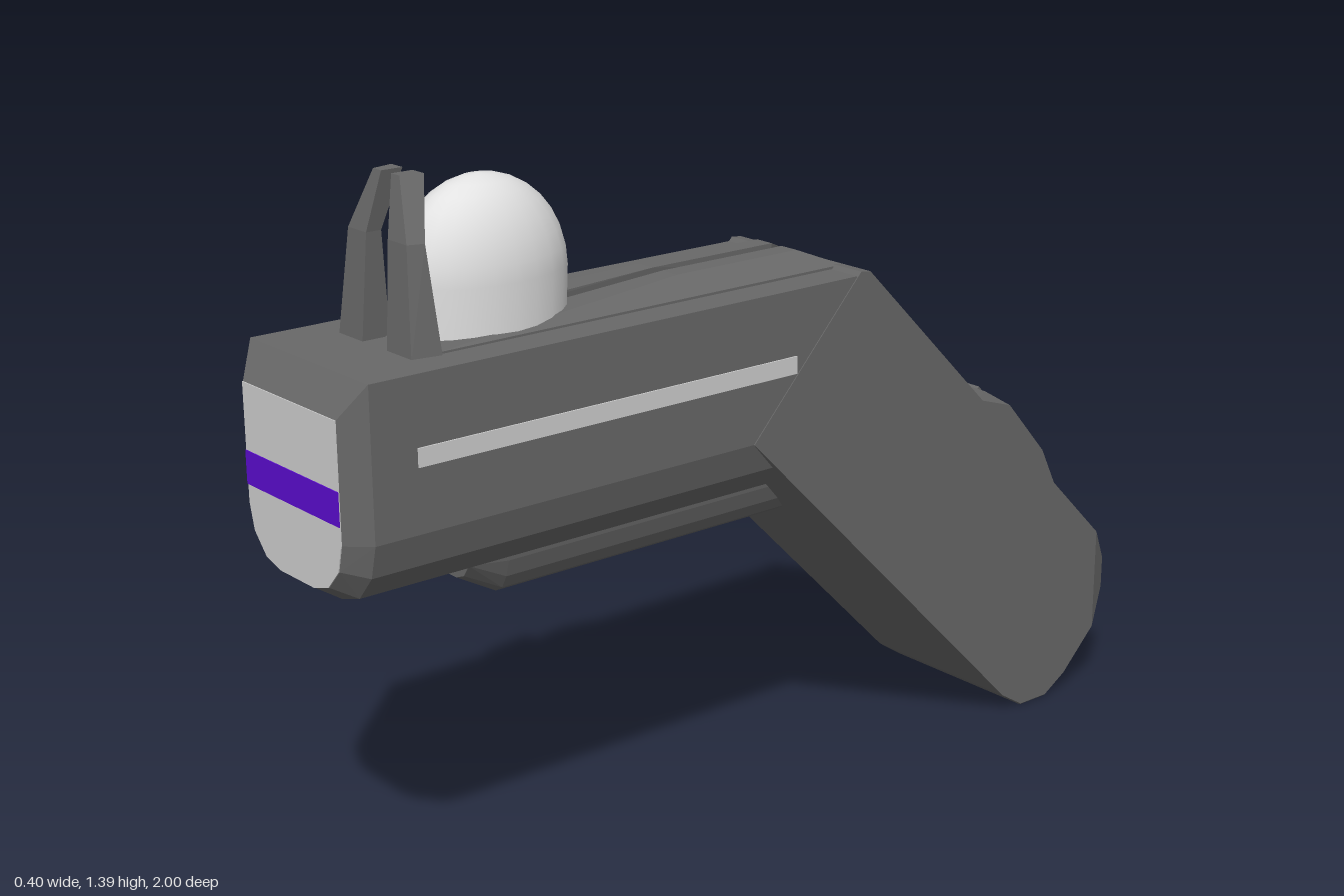
import * as THREE from 'three';
import { ConvexGeometry } from 'three/addons/geometries/ConvexGeometry.js';

const mat = (name, color) => {
  const m = new THREE.MeshStandardMaterial({ color });
  m.name = name;
  return m;
};

export function createModel() {
  const gray = mat('bodyGray', 0x686868);
  const light = mat('lightPanel', 0xd0d0d0);
  const white = mat('domeWhite', 0xe2e2e2);
  const frameGray = mat('frameGray', 0xb8b8b8);
  const purple = mat('purple', 0x5c0cd0);

  const model = new THREE.Group();
  const add = (name, geometry, material, parent = model) => {
    const mesh = new THREE.Mesh(geometry, material);
    mesh.name = name;
    parent.add(mesh);
    return mesh;
  };
  // faceted convex solid from [x, y, z] corners
  const hull = (pts) => new ConvexGeometry(pts.map((p) => new THREE.Vector3(...p)));
  // half cross-section [x, y] mirrored at depth z
  const ring = (half, z) => half.flatMap(([x, y]) => [[x, y, z], [-x, y, z]]);
  // side profile [z, y] at both +x and -x
  const sides = (profile, x) => profile.flatMap(([z, y]) => [[x, y, z], [-x, y, z]]);
  const box = (name, size, pos, material, parent) => {
    const m = add(name, new THREE.BoxGeometry(...size), material, parent);
    m.position.set(...pos);
    return m;
  };

  // Barrel with rounded underside and bevelled nose
  const section = [[0.195, 1.08], [0.195, 0.785], [0.178, 0.72], [0.135, 0.67], [0.075, 0.652]];
  const nose = [[0.155, 1.015], [0.155, 0.785], [0.142, 0.733], [0.105, 0.693], [0.058, 0.679]];
  add('barrel', hull([...ring(section, -0.19), ...ring(section, 0.955), ...ring(nose, 0.998)]), gray);
  add('nosePanel', hull([...ring(nose, 0.994), ...ring(nose, 1)]), light);
  box('noseStripe', [0.31, 0.065, 0.006], [0, 0.853, 0.999], purple);

  // Under-barrel rail
  const under = [[0.07, 0.68], [0.065, 0.63], [0.055, 0.595], [0.04, 0.568], [0.018, 0.555]];
  const underNose = [[0.065, 0.68], [0.062, 0.64], [0.045, 0.615], [0.02, 0.605]];
  add('underRail', hull([...ring(under, -0.14), ...ring(under, 0.58), ...ring(underNose, 0.67)]), gray);

  // Slanted grip with a rounded butt
  const grip = [[-0.2, 1.088], [-0.225, 1.085], [-0.95, 0.36], [-0.95, 0.13], [-0.86, 0.04],
    [-0.8, 0.003], [-0.72, 0.003], [-0.66, 0.04], [0.08, 0.785]];
  const butt = [[-1, 0.28], [-1, 0.21], [-0.8, 0], [-0.72, 0]];
  add('grip', hull([...sides(grip, 0.197), ...sides(butt.slice(0, 2), 0.175), ...sides(butt.slice(2), 0.194)]), gray);

  for (const s of [1, -1]) {
    const side = s > 0 ? 'left' : 'right';
    box(side + 'SideStripe', [0.006, 0.036, 0.89], [s * 0.195, 0.928, 0.415], light);

    // Raised top rail, leaving a groove in the middle
    add(side + 'TopRail', hull([
      [0.028, 1.07, 0.78], [0.12, 1.07, 0.78], [0.028, 1.084, 0.76], [0.12, 1.084, 0.76],
      [0.022, 1.092, 0.45], [0.115, 1.088, 0.45],
      [0.015, 1.115, 0.16], [0.06, 1.115, 0.16], [0.015, 1.115, -0.15], [0.06, 1.115, -0.15],
      [0.12, 1.085, 0.1], [0.12, 1.085, -0.22], [0.045, 1.085, -0.22],
      [0.015, 1.07, -0.15], [0.12, 1.07, -0.22], [0.045, 1.07, -0.22],
    ].map(([x, y, z]) => [x * s, y, z])), gray);

    // Bent prong in front of the dome: [y, inner x, outer x, front z, back z]
    const levels = [[1.075, 0.04, 0.118, 0.815, 0.755], [1.28, 0.035, 0.094, 0.8, 0.768],
      [1.392, 0.016, 0.042, 0.775, 0.73]];
    const prong = new THREE.Group();
    prong.name = side + 'Prong';
    model.add(prong);
    const quad = ([y, a, b, f, k]) => [[a * s, y, f], [b * s, y, f], [a * s, y, k], [(b + 0.01) * s, y, k]];
    for (let i = 0; i < 2; i++) {
      add(i ? 'prongTip' : 'prongBase', hull([...quad(levels[i]), ...quad(levels[i + 1])]), gray, prong);
    }
  }

  // Smooth egg-shaped dome
  const profile = [new THREE.Vector2(0.97, -0.62)];
  for (let i = 0; i <= 8; i++) {
    const a = (i / 8) * Math.PI / 2;
    profile.push(new THREE.Vector2(Math.cos(a), Math.sin(a)));
  }
  const dome = add('dome', new THREE.LatheGeometry(profile, 24), white);
  dome.scale.set(0.115, 0.185, 0.18);
  dome.position.set(0, 1.18, 0.578);

  // Screen lying on the back slope
  const screen = new THREE.Group();
  screen.name = 'screen';
  screen.position.set(0, 0.8925, -0.4175);
  screen.rotation.x = -Math.PI / 4;
  model.add(screen);
  box('screenFrame', [0.32, 0.016, 0.36], [0, 0, 0], frameGray, screen);
  box('screenGlass', [0.28, 0.008, 0.31], [0, 0.007, 0], light, screen);

  // Thumb hump below the screen, lower at its sides
  const humpMid = [[-0.56, 0.747], [-0.67, 0.725], [-0.705, 0.7], [-0.785, 0.62], [-0.815, 0.5]];
  const humpEdge = [[-0.56, 0.747], [-0.66, 0.715], [-0.77, 0.59], [-0.815, 0.5], [-0.76, 0.48], [-0.56, 0.68]];
  add('hump', hull([...sides(humpMid, 0.1), ...sides(humpEdge, 0.185)]), gray);

  // Small button on the hump
  const button = new THREE.Group();
  button.name = 'button';
  button.position.set(0, 0.666, -0.742);
  button.rotation.x = -Math.PI / 4;
  model.add(button);
  box('buttonBase', [0.052, 0.04, 0.075], [0, 0, 0], gray, button);
  box('buttonCap', [0.024, 0.008, 0.04], [0, 0.02, 0], light, button);

  return model;
}
